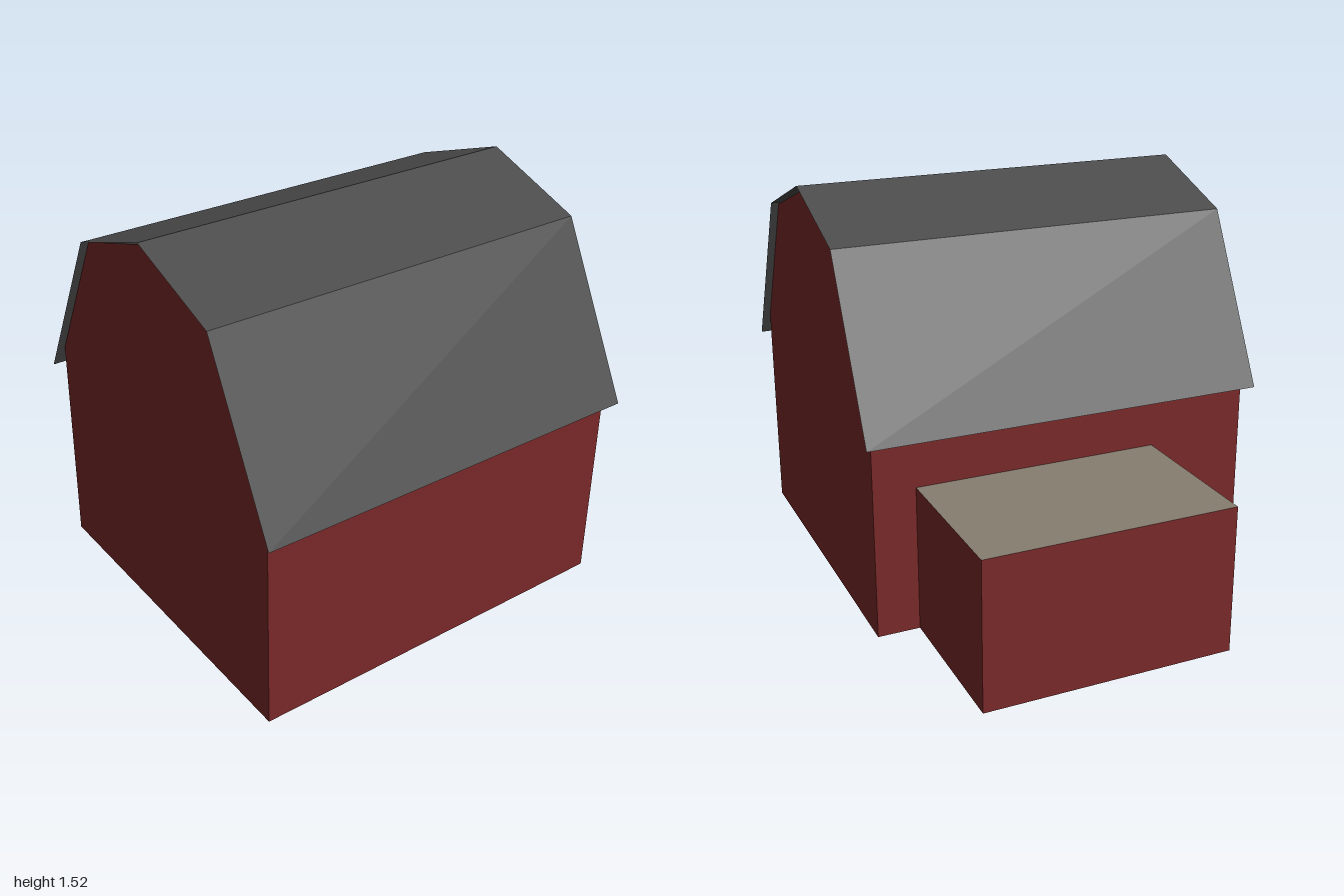
import * as THREE from 'three';

const flat = (name, color) => {
  const m = new THREE.MeshStandardMaterial({ color, side: THREE.DoubleSide });
  m.name = name;
  return m;
};

// Open sheet swept along z over a polyline of [x, y] points (run from -x to +x so it faces up/out)
function sheet(points, zBack, zFront) {
  const pos = [];
  for (let i = 0; i < points.length - 1; i++) {
    const [ax, ay] = points[i], [bx, by] = points[i + 1];
    pos.push(ax, ay, zBack, ax, ay, zFront, bx, by, zFront);
    pos.push(ax, ay, zBack, bx, by, zFront, bx, by, zBack);
  }
  const g = new THREE.BufferGeometry();
  g.setAttribute('position', new THREE.Float32BufferAttribute(pos, 3));
  g.computeVertexNormals();
  return g;
}

// Flat end wall from an outline, facing front or back
function endWall(points, z, back) {
  const g = new THREE.ShapeGeometry(new THREE.Shape(points.map(p => new THREE.Vector2(...p))));
  if (back) {
    // reverse the corners so the outside is the front face
    const idx = g.index.array;
    for (let i = 0; i < idx.length; i += 3) [idx[i], idx[i + 1]] = [idx[i + 1], idx[i]];
    g.computeVertexNormals();
  }
  return g.translate(0, 0, z);
}

export function createModel() {
  const red = flat('barn red', 0x792828);
  const grey = flat('roof grey', 0x4b4b4b);
  const tan = flat('shed roof tan', 0x877e70);

  const model = new THREE.Group();
  model.name = 'barn';
  const add = (parent, name, geometry, material) => {
    const mesh = new THREE.Mesh(geometry, material);
    mesh.name = name;
    parent.add(mesh);
  };

  // Main barn: open-bottomed shell with gambrel gables
  const barn = new THREE.Group();
  barn.name = 'mainBarn';
  model.add(barn);
  const L = -0.405, R = 0.95, mid = 0.2725, depth = 0.745, eave = 0.835;
  const gable = [[L, 0], [R, 0], [R, eave], [0.678, 1.368], [mid, 1.505], [-0.133, 1.368], [L, eave]];
  add(barn, 'frontGable', endWall(gable, depth, false), red);
  add(barn, 'backGable', endWall(gable, -depth, true), red);
  add(barn, 'leftWall', sheet([[R, eave], [R, 0]], -depth, depth), red);
  add(barn, 'rightWall', sheet([[L, 0], [L, eave]], -depth, depth), red);

  // Thin gambrel roof overhanging all round
  const roof = [[-0.455, 0.747], [-0.133, 1.375], [mid, 1.519], [0.678, 1.375], [1, 0.747]];
  add(barn, 'gambrelRoof', sheet(roof, -0.775, 0.775), grey);

  // Side shed against the barn's right wall
  const shed = new THREE.Group();
  shed.name = 'sideShed';
  model.add(shed);
  const top = 0.56, zBack = -0.585, zFront = 0.36;
  const end = [[-1, 0], [L, 0], [L, top], [-1, top]];
  add(shed, 'shedFrontWall', endWall(end, zFront, false), red);
  add(shed, 'shedBackWall', endWall(end, zBack, true), red);
  add(shed, 'shedSideWall', sheet([[-1, 0], [-1, top]], zBack, zFront), red);
  add(shed, 'shedRoof', sheet([[-1, top], [L, top]], zBack, zFront), tan);

  return model;
}
